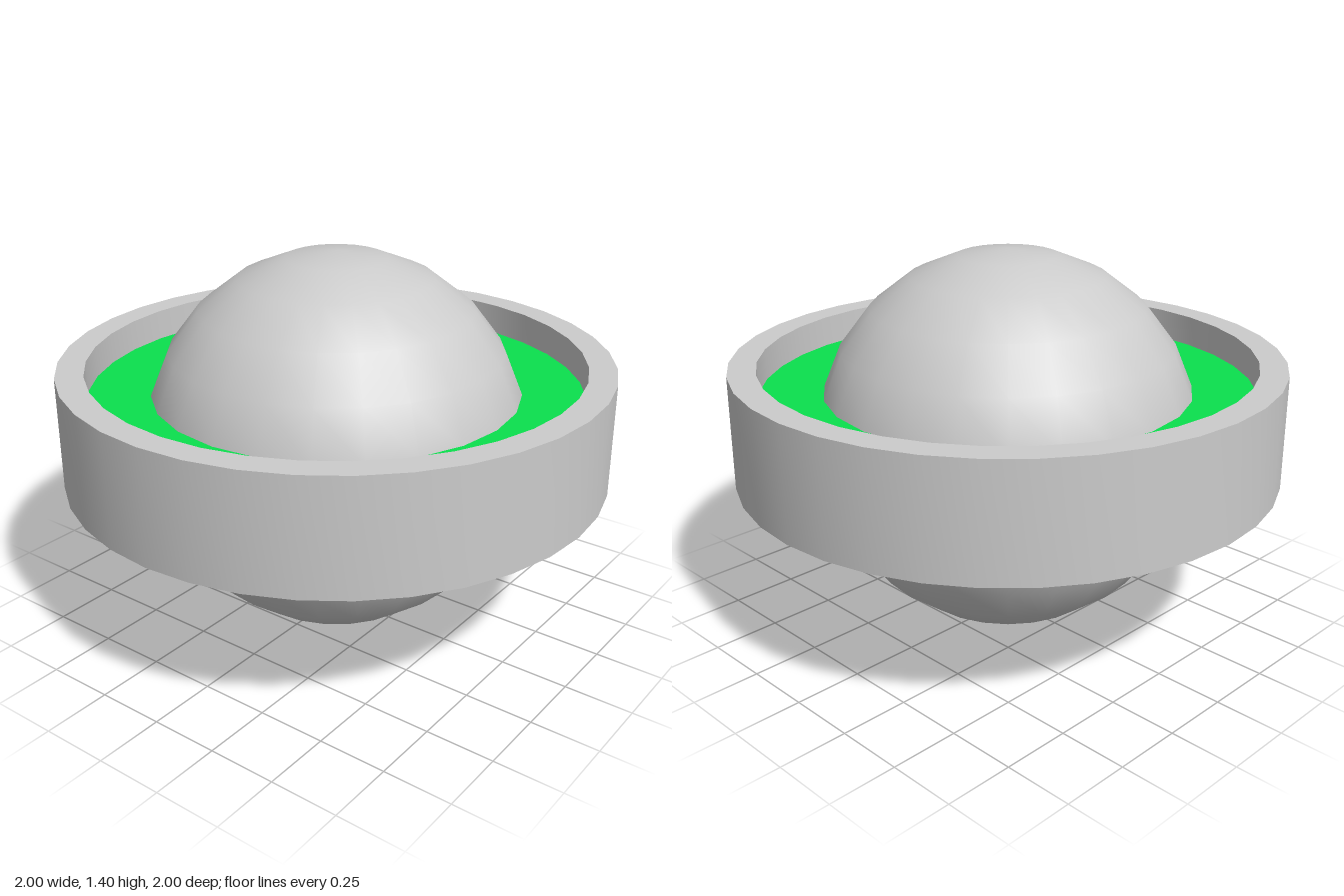
import * as THREE from 'three';
import { toCreasedNormals } from 'three/addons/utils/BufferGeometryUtils.js';

const SIDES = 36;

function part(name, geometry, color = 0xcccccc) {
  const mesh = new THREE.Mesh(geometry, new THREE.MeshStandardMaterial({ color }));
  mesh.name = name;
  return mesh;
}

// Closed ring with a rectangular section, sharp at the rims and smooth around
function ringGeometry(inner, outer, bottom, top) {
  const profile = [[inner, bottom], [outer, bottom], [outer, top], [inner, top], [inner, bottom]]
    .map(([r, y]) => new THREE.Vector2(r, y));
  return toCreasedNormals(new THREE.LatheGeometry(profile, SIDES), 0.6);
}

export function createModel() {
  const model = new THREE.Group();
  model.name = 'ringedSphere';

  // Central ball
  const ball = part('ball', new THREE.SphereGeometry(0.7, 24, 12));
  ball.position.y = 0.7;
  model.add(ball);

  // Outer band around the middle
  model.add(part('outerRing', ringGeometry(0.9, 1, 0.59, 1.005)));

  // Green disc filling the band, recessed below its top rim
  const bottom = 0.6, top = 0.89;
  const disc = part('greenDisc', new THREE.CylinderGeometry(0.9, 0.9, top - bottom, SIDES), 0x0be04e);
  disc.position.y = (top + bottom) / 2;
  model.add(disc);

  return model;
}
